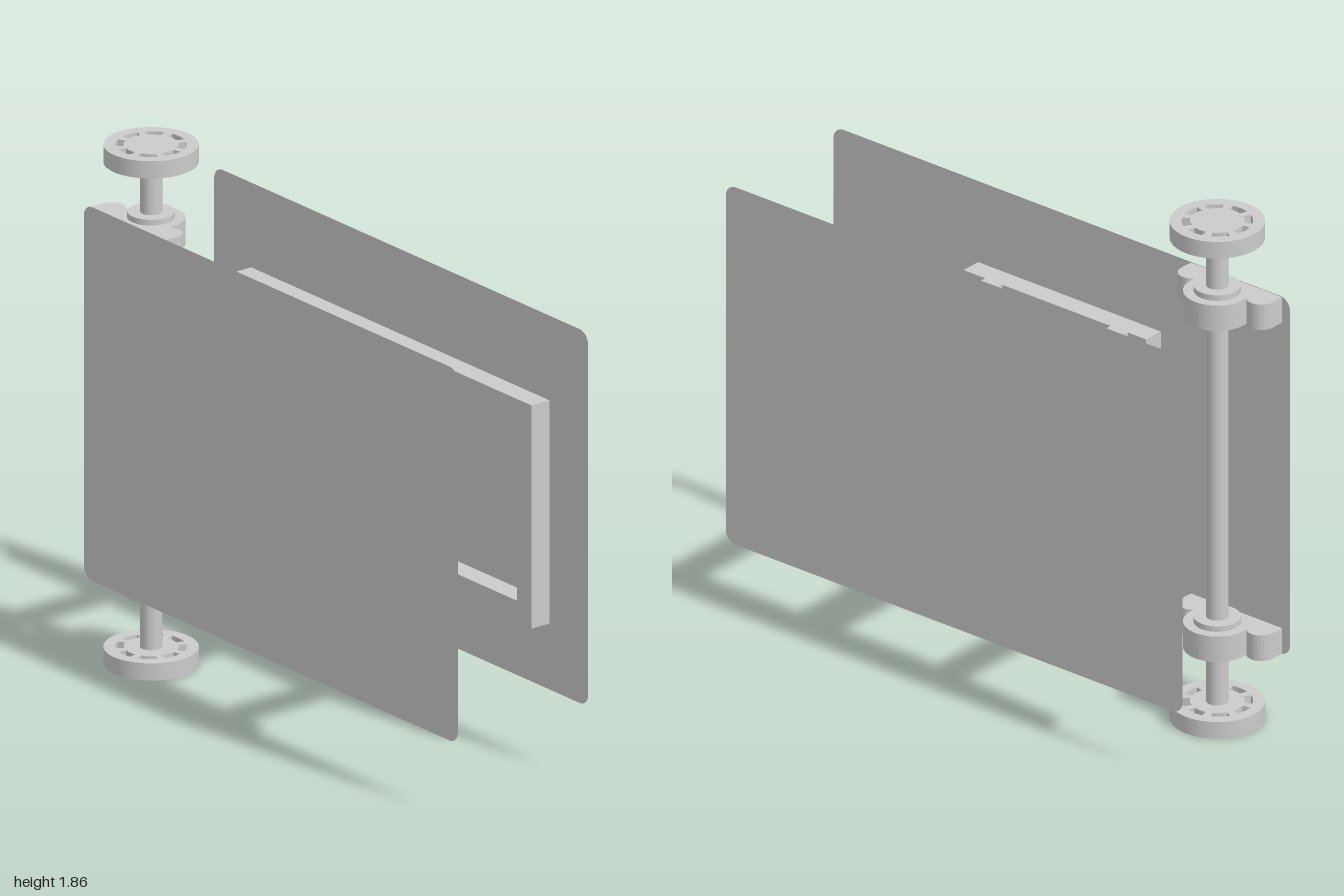
import * as THREE from 'three';
import { toCreasedNormals } from 'three/addons/utils/BufferGeometryUtils.js';

const material = new THREE.MeshStandardMaterial({ color: 0xcccccc });
const thinMaterial = new THREE.MeshStandardMaterial({ color: 0xcccccc, side: THREE.DoubleSide });
const AXIS_X = -0.765, AXIS_Z = 0.15;

function add(parent, name, geometry, x, y, z, mat = material) {
  const mesh = new THREE.Mesh(geometry, mat);
  mesh.name = name;
  mesh.position.set(x, y, z);
  parent.add(mesh);
  return mesh;
}

// Extrudes a plan outline upward; outline +y points to the back
function extrudeUp(shape, height) {
  const g = new THREE.ExtrudeGeometry(shape, { depth: height, bevelEnabled: false, curveSegments: 32 });
  return toCreasedNormals(g.rotateX(-Math.PI / 2), 0.5);
}

function roundedRect(w, h, r) {
  const s = new THREE.Shape(), x = w / 2 - r, y = h / 2 - r;
  s.absarc(x, y, r, 0, Math.PI / 2);
  s.absarc(-x, y, r, Math.PI / 2, Math.PI);
  s.absarc(-x, -y, r, Math.PI, Math.PI * 1.5);
  s.absarc(x, -y, r, Math.PI * 1.5, Math.PI * 2);
  s.closePath();
  return s;
}

// Round wheel with a ring of eight curved slots
function wheelGeometry() {
  const s = new THREE.Shape().absarc(0, 0, 0.16, 0, Math.PI * 2);
  for (let i = 0; i < 8; i++) {
    const a = i * Math.PI / 4, half = 0.27;
    const slot = new THREE.Path();
    slot.absarc(0, 0, 0.12, a - half, a + half, false);
    slot.absarc(0, 0, 0.092, a + half, a - half, true);
    slot.closePath();
    s.holes.push(slot);
  }
  return extrudeUp(s, 0.062);
}

// Bearing block: round boss with a rounded ear on each side
function bearingGeometry() {
  const s = new THREE.Shape();
  s.moveTo(-0.2, -0.1);
  s.lineTo(0.2, -0.1);
  s.absarc(0.15, -0.05, 0.05, 0, 2.37);
  s.absarc(0, 0, 0.115, -0.135, Math.PI + 0.135);
  s.absarc(-0.15, -0.05, 0.05, Math.PI - 2.37, Math.PI);
  s.closePath();
  return extrudeUp(s, 0.095);
}

// Rectangular ring of square bar
function ringGeometry(w, h, bar) {
  const s = new THREE.Shape();
  s.moveTo(-w / 2, -h / 2).lineTo(w / 2, -h / 2).lineTo(w / 2, h / 2).lineTo(-w / 2, h / 2).closePath();
  const x = w / 2 - bar, y = h / 2 - bar;
  const hole = new THREE.Path();
  hole.moveTo(-x, -y).lineTo(-x, y).lineTo(x, y).lineTo(x, -y).closePath();
  s.holes.push(hole);
  return new THREE.ExtrudeGeometry(s, { depth: bar, bevelEnabled: false });
}

export function createModel() {
  const model = new THREE.Group();
  model.name = 'panelAssembly';

  // Thin front and back panels
  const panel = new THREE.ShapeGeometry(roundedRect(2, 1.34, 0.045), 10);
  add(model, 'frontPanel', panel, 0, 0.933, 0.25, thinMaterial);
  add(model, 'backPanel', panel, 0, 0.933, -0.309, thinMaterial);

  // Spacer frame: two rings joined by four struts
  const frame = new THREE.Group();
  frame.name = 'spacerFrame';
  model.add(frame);
  add(frame, 'backRing', ringGeometry(1.595, 0.8, 0.077), -0.003, 0.9, -0.308);
  add(frame, 'frontRing', ringGeometry(0.8, 0.8, 0.077), -0.035, 0.9, 0.172);
  const strut = new THREE.BoxGeometry(0.075, 0.075, 0.404);
  for (const x of [-0.317, 0.232])
    for (const y of [0.5375, 1.2625]) add(frame, 'strut', strut, x, y, -0.029);

  // Spindle with bearings, collars and end wheels
  const spindle = new THREE.Group();
  spindle.name = 'spindle';
  spindle.position.set(AXIS_X, 0, AXIS_Z);
  model.add(spindle);
  add(spindle, 'shaft', new THREE.CylinderGeometry(0.0375, 0.0375, 1.76, 40), 0, 0.931, 0);
  const wheel = wheelGeometry(), bearing = bearingGeometry();
  const collar = new THREE.CylinderGeometry(0.08, 0.08, 0.136, 40);
  for (const [wheelY, bearingY] of [[0, 0.265], [1.8, 1.506]]) {
    add(spindle, 'wheel', wheel, 0, wheelY, 0);
    add(spindle, 'bearing', bearing, 0, bearingY, 0);
    add(spindle, 'collar', collar, 0, bearingY + 0.0475, 0);
  }
  return model;
}
